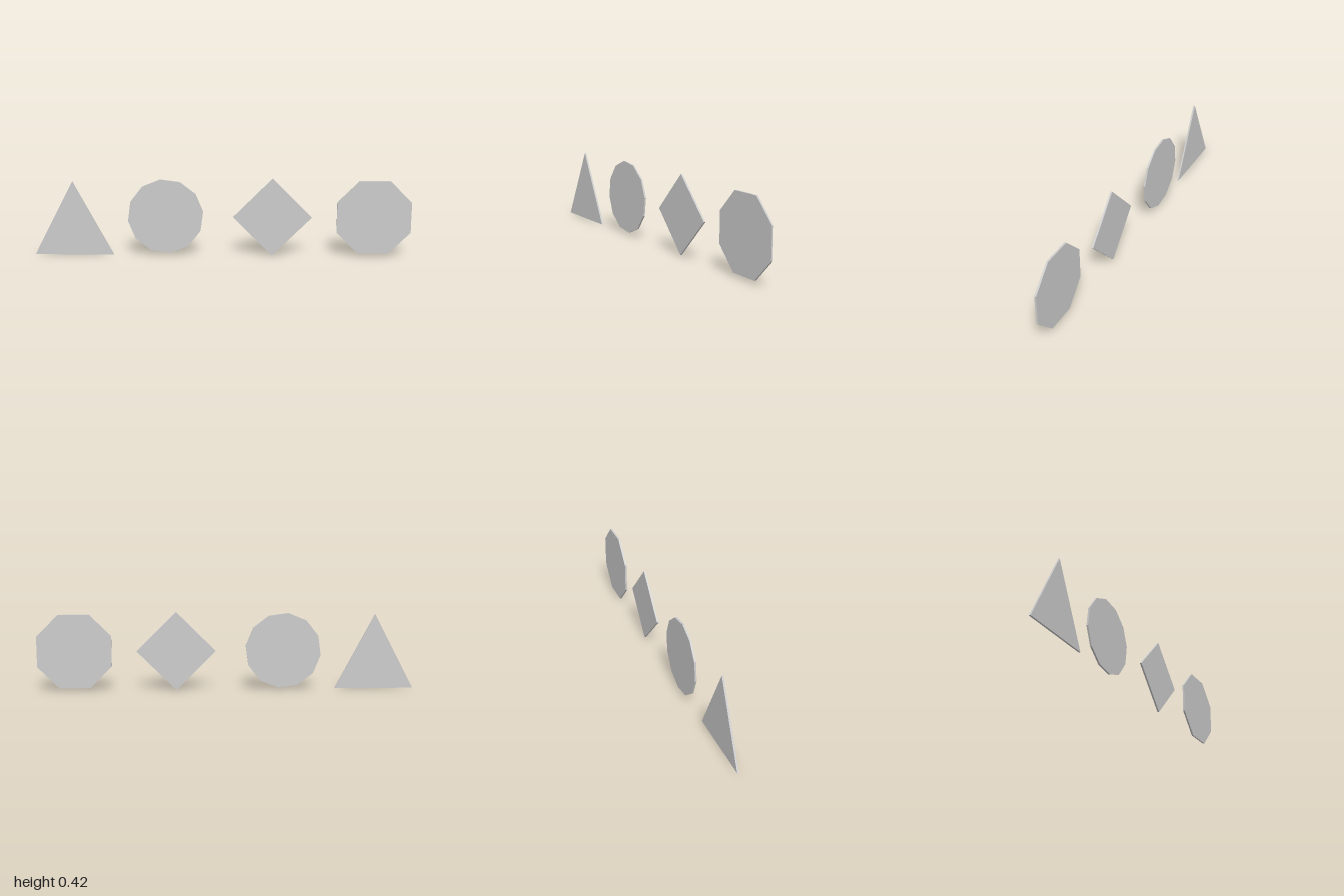
import * as THREE from 'three';

const DEPTH = 0.0095;

// Flat plate cut from an outline, centred on the given z
function plate(name, points, z) {
  const geometry = new THREE.ExtrudeGeometry(new THREE.Shape(points), { depth: DEPTH, bevelEnabled: false });
  geometry.translate(0, 0, z - DEPTH / 2);
  const mesh = new THREE.Mesh(geometry, new THREE.MeshStandardMaterial({ color: 0xcccccc, flatShading: true }));
  mesh.name = name;
  return mesh;
}

// Regular polygon outline, first corner at the given angle in degrees
function polygon(cx, cy, radius, sides, degrees) {
  return Array.from({ length: sides }, (_, i) => {
    const a = THREE.MathUtils.degToRad(degrees) + (i / sides) * Math.PI * 2;
    return new THREE.Vector2(cx + radius * Math.cos(a), cy + radius * Math.sin(a));
  });
}

export function createModel() {
  const model = new THREE.Group();
  model.name = 'flatShapes';

  const triangle = [[-1, 0.002], [-0.58, 0.002], [-0.79, 0.4]].map(([x, y]) => new THREE.Vector2(x, y));
  model.add(
    plate('triangle', triangle, 0.0048),
    plate('circle', polygon(-0.301, 0.2105, 0.2015, 12, 7.3), -0.0048),
    plate('diamond', polygon(0.267, 0.209, 0.209, 4, 0), 0),
    plate('octagon', polygon(0.804, 0.21, 0.212, 8, 22.5), 0),
  );
  return model;
}
